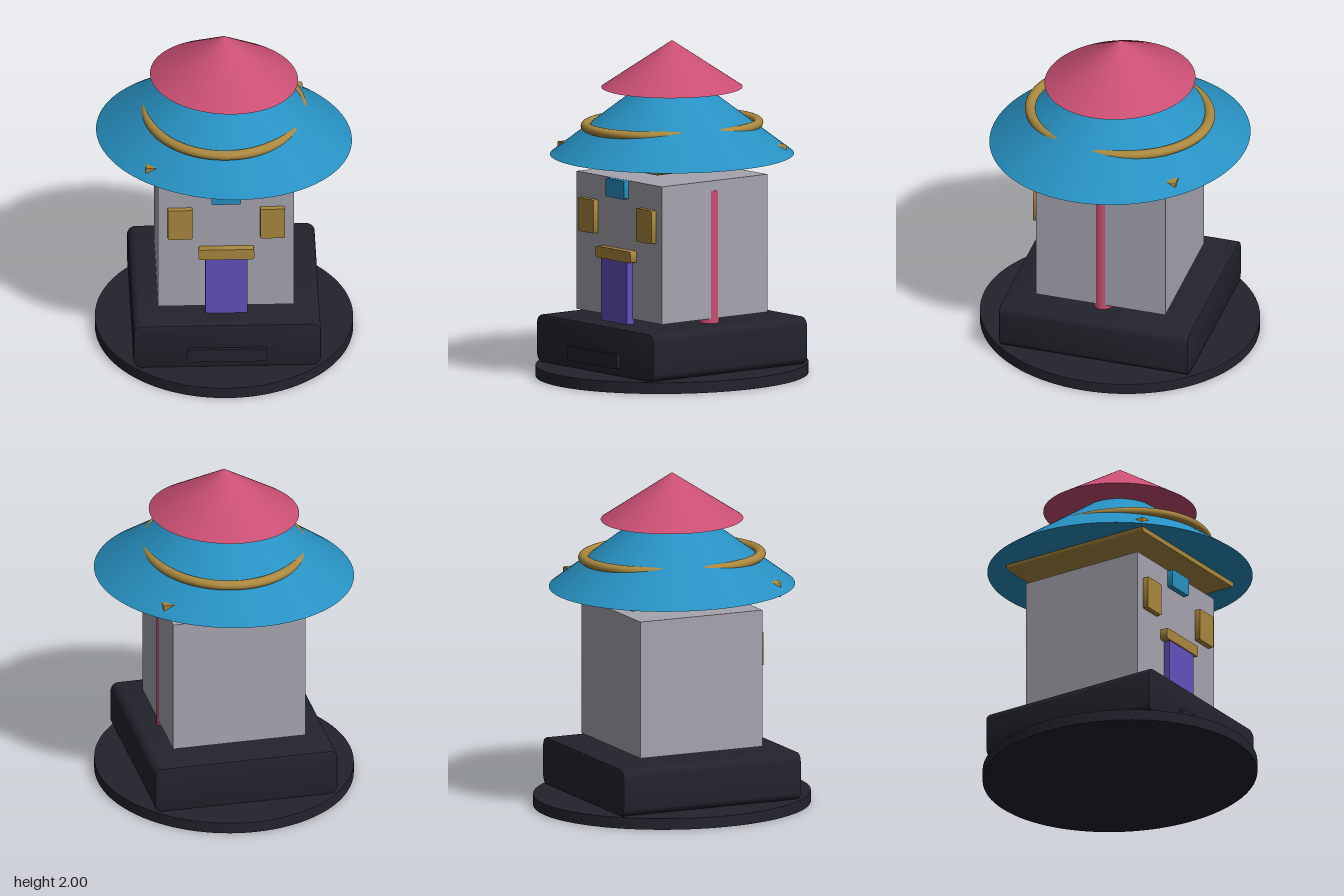
import * as THREE from 'three';
import { toCreasedNormals } from 'three/addons/utils/BufferGeometryUtils.js';

const material = (name, color) => {
  const m = new THREE.MeshStandardMaterial({ color });
  m.name = name;
  return m;
};

export function createModel() {
  const stone = material('grey wall', 0xa6a4ae);
  const dark = material('charcoal', 0x23232d);
  const blue = material('roof blue', 0x2791c2);
  const pink = material('rose', 0xc94f73);
  const gold = material('old gold', 0xaa883e);
  const purple = material('door purple', 0x6450be);

  const model = new THREE.Group();
  model.name = 'towerHouse';

  const add = (name, geometry, mat, x = 0, y = 0, z = 0) => {
    const mesh = new THREE.Mesh(geometry, mat);
    mesh.name = name;
    mesh.position.set(x, y, z);
    model.add(mesh);
    return mesh;
  };

  // Slab with rounded corners in the front outline, centred on its origin
  const slab = (w, h, d, r, bevel = 0) => {
    const x = w / 2 - bevel, y = h / 2 - bevel;
    const s = new THREE.Shape();
    s.moveTo(-x + r, -y);
    s.lineTo(x - r, -y);
    s.absarc(x - r, -y + r, r, -Math.PI / 2, 0);
    s.absarc(x - r, y - r, r, 0, Math.PI / 2);
    s.absarc(-x + r, y - r, r, Math.PI / 2, Math.PI);
    s.absarc(-x + r, -y + r, r, Math.PI, Math.PI * 1.5);
    const depth = d - 2 * bevel;
    const g = new THREE.ExtrudeGeometry(s, {
      depth, curveSegments: 6, bevelEnabled: bevel > 0,
      bevelSize: bevel, bevelThickness: bevel, bevelSegments: 2,
    });
    g.translate(0, 0, -depth / 2);
    return toCreasedNormals(g, 0.6);
  };

  // Oval foot and plinth
  add('footDisc', new THREE.CylinderGeometry(1, 1, 0.067, 96), dark, 0, 0.0335, 0)
    .scale.set(0.765, 1, 0.835);
  add('plinth', slab(1.11, 0.285, 1.168, 0.04, 0.01), dark, 0, 0.2085, 0);
  add('plinthPlate', slab(0.47, 0.085, 0.04, 0.015), dark, 0, 0.155, 0.585);

  // Walls and the pipe sunk into the left side
  add('walls', new THREE.BoxGeometry(0.806, 0.825, 0.8), stone, 0, 0.7935, 0);
  add('sidePipe', new THREE.CylinderGeometry(0.059, 0.059, 0.8, 32), pink, 0.351, 0.745, 0);

  // Front details
  add('door', new THREE.BoxGeometry(0.25, 0.39, 0.05), purple, 0, 0.535, 0.415);
  add('doorLintel', slab(0.33, 0.068, 0.06, 0.012), gold, 0, 0.757, 0.418);
  for (const side of [-1, 1])
    add(side > 0 ? 'leftWindow' : 'rightWindow', slab(0.146, 0.2, 0.045, 0.008), gold, side * 0.274, 0.958, 0.412);
  add('frontPlaque', slab(0.176, 0.11, 0.045, 0.01), blue, 0, 1.15, 0.412);

  // Eaves slab, whose corners just break through the roof
  add('eaves', slab(0.96, 0.095, 0.972, 0.014), gold, 0, 1.3375, 0);

  // Oval cone roofs, long axis on the diagonal
  const roof = (name, base, height, major, minor, mat) => {
    const mesh = add(name, new THREE.ConeGeometry(1, height, 96), mat, 0, base + height / 2, 0);
    mesh.scale.set(major, 1, minor);
    mesh.rotation.y = -Math.PI / 4;
  };
  roof('lowerRoof', 1.32, 0.55, 0.788, 0.722, blue);
  roof('upperRoof', 1.72, 0.28, 0.456, 0.418, pink);

  // Oval ring half sunk into the lower roof
  const ring = new THREE.TorusGeometry(0.465, 0.028, 20, 96);
  ring.rotateX(Math.PI / 2);
  add('roofRing', ring, gold, 0, 1.4975, 0).scale.z = 1.155;

  return model;
}
